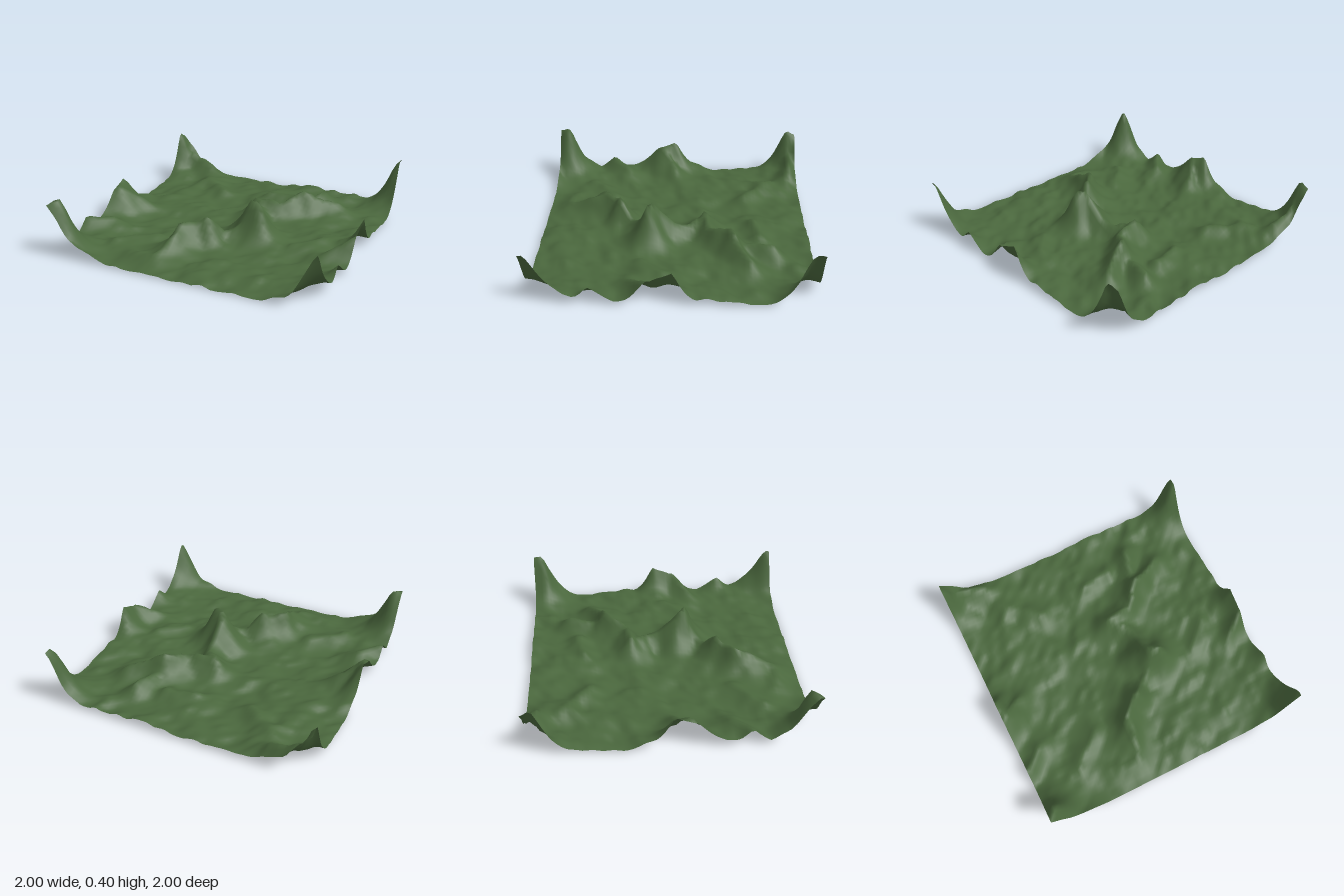
import * as THREE from 'three';

const SIZE = 1.965, SEGMENTS = 72, TURN = 0.0165;
const SHIFT = SIZE * Math.sin(TURN);
const { clamp, lerp, smoothstep } = THREE.MathUtils;

// Crest lines: each point is [x, z, height]
const CENTRE_PEAK = [[0.26, 0.18, 0.34], [0.19, 0.16, 0.36], [0.19, 0, 0.18],
  [0.15, -0.12, 0.13], [0.06, -0.22, 0.19]];
const FRONT_CHAIN = [[0.2, 0.2, 0.2], [0.06, 0.32, 0.11], [-0.04, 0.4, 0.25],
  [-0.08, 0.44, 0.2], [-0.16, 0.52, 0.22], [-0.2, 0.8, 0.1], [-0.36, 0.84, 0.06]];
const BACK_CHAIN = [[0.6, -0.54, 0.13], [0.5, -0.48, 0.17], [0.38, -0.43, 0.23],
  [0.25, -0.26, 0.14], [0.06, -0.22, 0.2]];
const BACK_SPUR = [[0.43, -0.72, 0.12], [0.4, -0.55, 0.14]];
const SIDE_HILL = [[-0.98, 0.03, 0.27], [-0.96, 0.14, 0.24], [-0.83, 0.03, 0.14]];
const SIDE_SPUR = [[0.98, 0.15, 0.2], [0.8, 0.3, 0.08]];
const SIDE_SWELL = [[-0.97, 0.55, 0.13], [-0.82, 0.42, 0.1]];
const CORNER_PEAK = [[-1, -0.91, 0.38], [-1, -0.98, 0.38], [-0.94, -1.045, 0.4]];
const CORNER_SPUR = [[-0.9, -0.92, 0.22], [-0.7, -0.9, 0.16]];
const BACK_SWELL = [[-0.65, -0.74, 0.08], [-0.38, -0.53, 0.09]];
const MIDDLE_SWELL = [[0, -0.58, 0.09], [0.22, -0.62, 0.1]];
const FRONT_SWELL = [[-0.62, 0.68, 0.07], [-0.4, 0.48, 0.07]];
const RIGHT_SWELL = [[0.55, 0.2, 0.07], [0.72, 0.05, 0.08]];
const CRESTS = [CENTRE_PEAK, FRONT_CHAIN, BACK_CHAIN, BACK_SPUR, SIDE_HILL, SIDE_SPUR,
  SIDE_SWELL, CORNER_PEAK, CORNER_SPUR, BACK_SWELL, MIDDLE_SWELL, FRONT_SWELL, RIGHT_SWELL];

// Seeded value noise
function hash(i, j) {
  let n = Math.imul(i, 374761393) + Math.imul(j, 668265263) + 1274126177;
  n = Math.imul(n ^ (n >>> 13), 1274126177);
  return ((n ^ (n >>> 16)) >>> 0) / 4294967295;
}
function noise(x, y) {
  const i = Math.floor(x), j = Math.floor(y);
  const u = smoothstep(x - i, 0, 1), v = smoothstep(y - j, 0, 1);
  const top = lerp(hash(i, j), hash(i + 1, j), u);
  const low = lerp(hash(i, j + 1), hash(i + 1, j + 1), u);
  return lerp(top, low, v) - 0.5;
}

// Height beside one stretch of crest: steep slopes fading into the plain
function slopeHeight([x1, z1, h1], [x2, z2, h2], x, z) {
  const dx = x2 - x1, dz = z2 - z1;
  const t = clamp(((x - x1) * dx + (z - z1) * dz) / (dx * dx + dz * dz), 0, 1);
  const d = Math.hypot(x - x1 - t * dx, z - z1 - t * dz);
  const h = lerp(h1, h2, t);
  return h * Math.exp(-Math.pow(d / (0.08 + 0.11 * h), 1.25));
}

// Highest slope at a point; hills on the rim continue on the opposite rim
function hillHeight(x, z) {
  let best = 0;
  for (let i = -1; i <= 1; i++) {
    for (let j = -1; j <= 1; j++) {
      const tx = x + i * SIZE + j * SHIFT, tz = z + j * SIZE - i * SHIFT;
      for (const crest of CRESTS) {
        for (let k = 1; k < crest.length; k++) {
          best = Math.max(best, slopeHeight(crest[k - 1], crest[k], tx, tz));
        }
      }
    }
  }
  return best;
}

function terrainHeight(x, z) {
  // rolling ground, stretched along the diagonal and lower at the front
  const a = (x - z) * 0.7, b = (x + z) * 0.7;
  const rough = noise(a * 6 + 9, b * 10 + 4) + 0.5 * noise(a * 14, b * 20 + 7);
  const swell = noise(a * 2.5 + 3, b * 4 + 8);
  const frontDip = smoothstep(z, 0.6, 0.98) * 0.015;
  const plain = 0.03 + 0.035 * swell + 0.045 * rough - frontDip;
  // wander the crests a little
  const wx = x + 0.025 * noise(x * 11, z * 11 + 5), wz = z + 0.025 * noise(x * 11 + 40, z * 11);
  const hill = hillHeight(wx, wz);
  return clamp(Math.hypot(Math.max(plain, 0), hill) + 0.15 * hill * rough, 0, 0.4);
}

export function createModel() {
  const group = new THREE.Group();
  group.name = 'landscape';
  const grass = new THREE.MeshStandardMaterial({ color: 0x4a673d, side: THREE.DoubleSide });
  grass.name = 'grass green';

  // Open sheet, turned slightly and lifted by the height rule
  const geometry = new THREE.PlaneGeometry(SIZE, SIZE, SEGMENTS, SEGMENTS);
  geometry.rotateX(-Math.PI / 2);
  geometry.rotateY(TURN);
  const p = geometry.attributes.position;
  for (let i = 0; i < p.count; i++) p.setY(i, terrainHeight(p.getX(i), p.getZ(i)));
  geometry.computeVertexNormals();

  const terrain = new THREE.Mesh(geometry, grass);
  terrain.name = 'terrain';
  group.add(terrain);
  return group;
}
